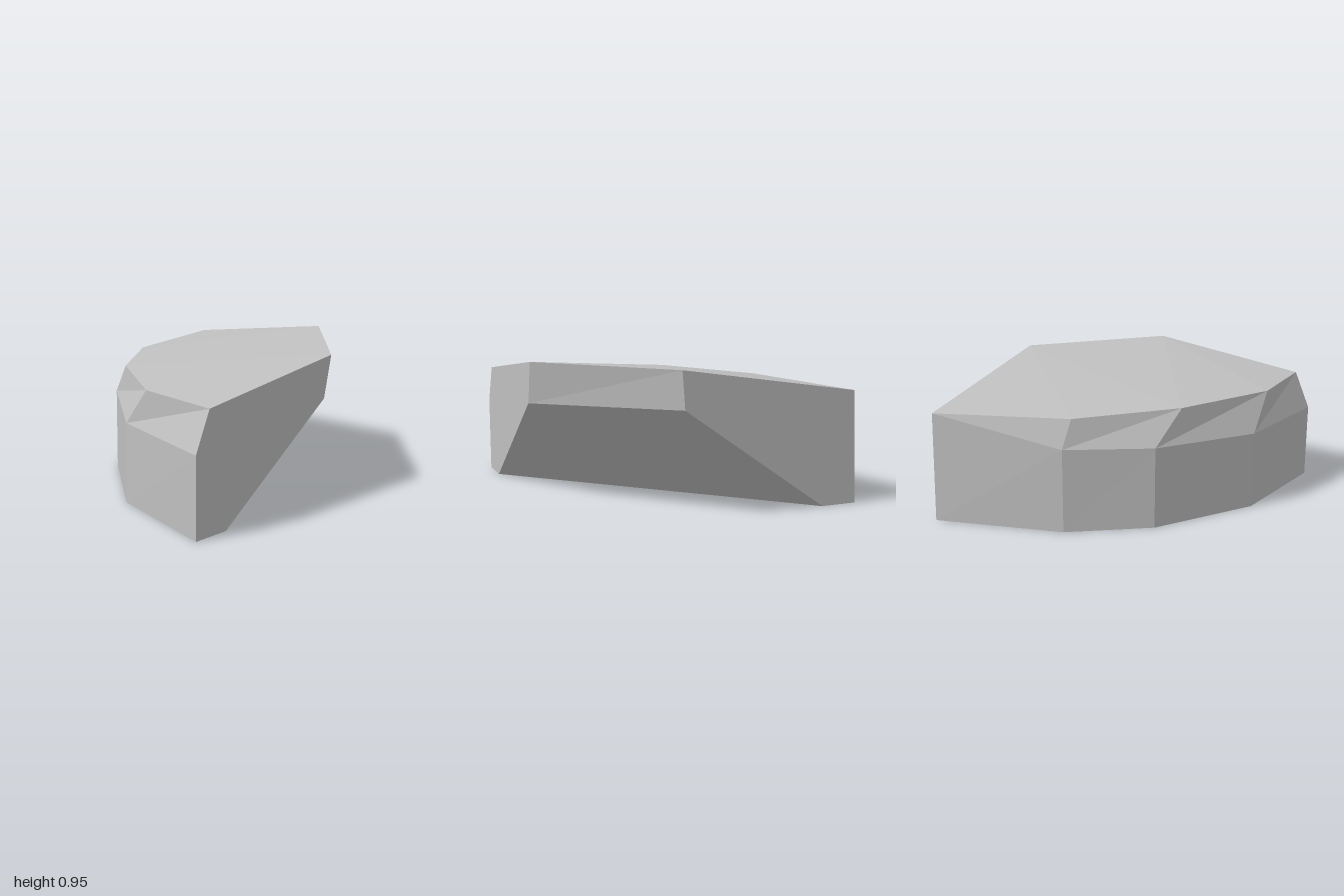
import * as THREE from 'three';

// Curved outer side, from the back corner round to the front: base, shoulder, top rim
const base = [[0.99, 0, -1], [0.11, 0, -0.78], [-0.4, 0, -0.44], [-0.85, 0, 0.2], [-0.99, 0, 1]];
const shoulder = [[0.99, 0.76, -0.97], [0.11, 0.58, -0.775], [-0.4, 0.565, -0.435], [-0.85, 0.54, 0.21], [-0.99, 0.53, 1]];
const rim = [[0.99, 0.76, -0.97], [0.08, 0.775, -0.7], [-0.49, 0.795, -0.22], [-0.86, 0.795, 0.42], [-0.88, 0.79, 1]];

// Cut inner side: upper edge, lip and foot, each from the front face to the side face
const topFront = [0.22, 0.95, 1], topSide = [0.99, 0.95, 0.26];
const lipFront = [0.16, 0.67, 1], lipSide = [0.99, 0.7, 0.24];
const footFront = [-0.74, 0, 1], footSide = [0.99, 0, -0.75];

// Flat-shaded mesh from counter-clockwise polygons, each cut into a fan
function facets(name, polygons, material) {
  const positions = [];
  for (const p of polygons) {
    for (let i = 1; i < p.length - 1; i++) positions.push(...p[0], ...p[i], ...p[i + 1]);
  }
  const geometry = new THREE.BufferGeometry();
  geometry.setAttribute('position', new THREE.Float32BufferAttribute(positions, 3));
  geometry.computeVertexNormals();
  const mesh = new THREE.Mesh(geometry, material);
  mesh.name = name;
  return mesh;
}

export function createModel() {
  const stone = new THREE.MeshStandardMaterial({ color: 0xc0c0c0 });
  stone.name = 'grey stone';

  // Upright wall and the sloping bevel above it
  const wall = [], bevel = [];
  for (let i = 0; i < 4; i++) {
    wall.push([base[i], base[i + 1], shoulder[i + 1], shoulder[i]]);
    bevel.push(i === 0
      ? [rim[0], shoulder[1], rim[1]]
      : [shoulder[i], shoulder[i + 1], rim[i + 1], rim[i]]);
  }

  const group = new THREE.Group();
  group.name = 'rock';
  group.add(
    facets('outerWall', wall, stone),
    facets('outerBevel', bevel, stone),
    facets('top', [
      [topSide, rim[0], rim[1], rim[2]],
      [topFront, topSide, rim[2], rim[3], rim[4]],
    ], stone),
    facets('frontFace', [[base[4], footFront, lipFront, topFront, rim[4], shoulder[4]]], stone),
    facets('sideFace', [[footSide, base[0], rim[0], topSide, lipSide]], stone),
    facets('innerFace', [[lipFront, lipSide, topSide, topFront]], stone),
    facets('undercut', [[footFront, footSide, lipSide, lipFront]], stone),
    facets('underside', [[footSide, footFront, ...[...base].reverse()]], stone),
  );
  return group;
}
